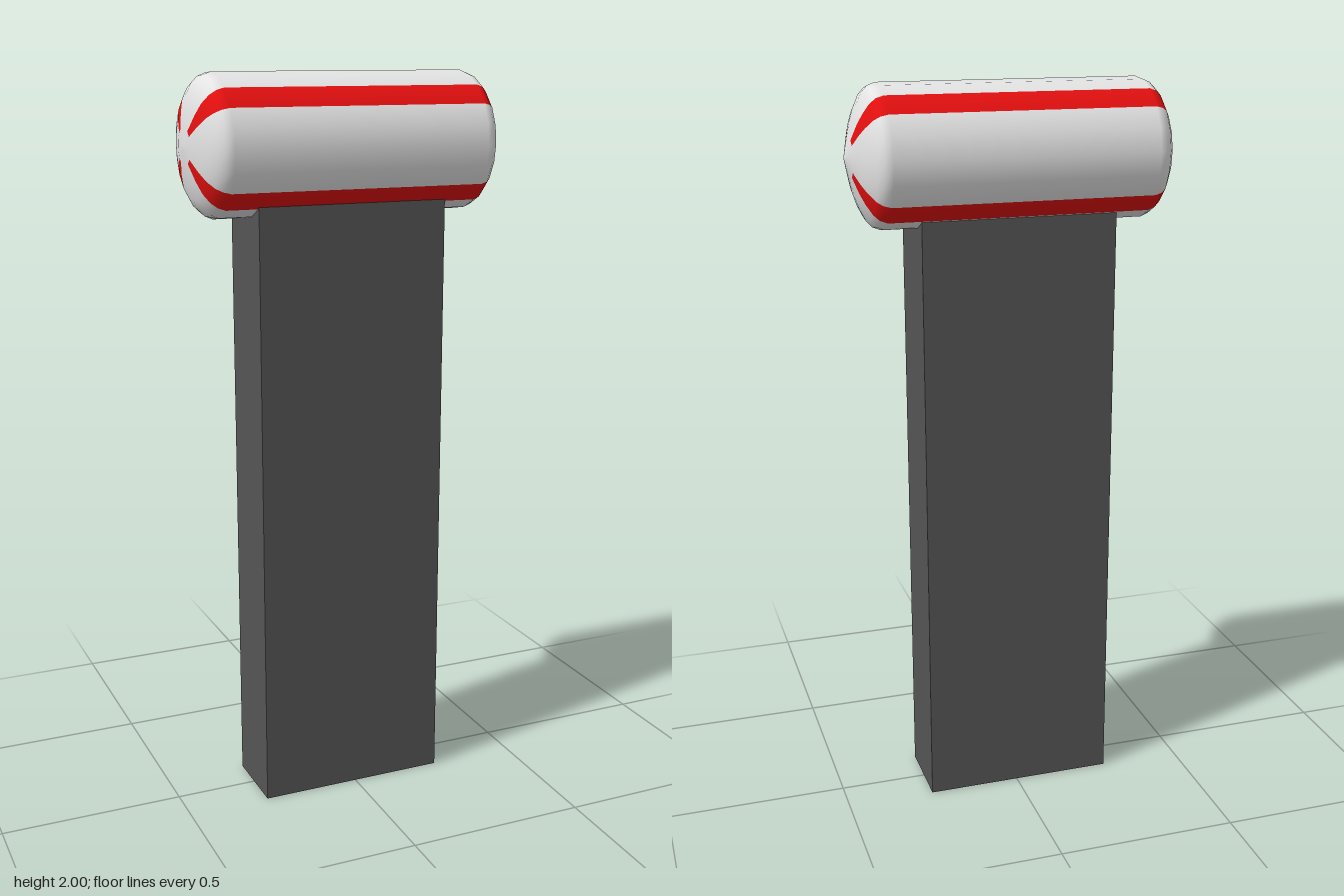
import * as THREE from 'three';

const mat = (name, color) => Object.assign(new THREE.MeshStandardMaterial({ color }), { name });

export function createModel() {
  const model = new THREE.Group();
  model.name = 'hammer';
  const white = mat('white', 0xe4e4e4);
  const red = mat('red', 0xe40f0f);
  const grey = mat('dark grey', 0x555555);

  // Flat rectangular handle, its top buried in the head
  const handle = new THREE.Mesh(new THREE.BoxGeometry(0.53, 1.72, 0.21), grey);
  handle.name = 'handle';
  handle.position.set(-0.008, 0.86, 0.005);
  model.add(handle);

  // Head outline as [radius, x]: rounded end on -x, blunt point on +x
  const profile = [
    [0, -0.435], [0.05, -0.432], [0.1, -0.422], [0.137, -0.411], [0.163, -0.396],
    [0.178, -0.38], [0.186, -0.36], [0.186, 0.345], [0.178, 0.365], [0.162, 0.38],
    [0.13, 0.396], [0.1, 0.407], [0.055, 0.419], [0, 0.433],
  ].map(([r, x]) => new THREE.Vector2(r, x));
  const rows = profile.length - 1;

  const head = new THREE.Group();
  head.name = 'head';
  head.position.y = 1.814;
  model.add(head);

  // One sector of the head between two angles, measured from the top towards +z
  function sector(name, from, to, segments, striped) {
    const rad = THREE.MathUtils.degToRad;
    const geo = new THREE.LatheGeometry(profile, segments, rad(from - 90), rad(to - from));
    geo.rotateZ(-Math.PI / 2);
    if (striped) {
      // Red along the whole length except the innermost ring at each end
      geo.addGroup(0, 6, 0);
      geo.addGroup(6, (rows - 2) * 6, 1);
      geo.addGroup((rows - 1) * 6, 6, 0);
    }
    const mesh = new THREE.Mesh(geo, striped ? [white, red] : white);
    mesh.name = name;
    head.add(mesh);
  }

  // Four stripes with plain sectors between them
  const starts = [37, 125.5, 215, 310];
  const width = 20;
  starts.forEach((start, i) => {
    const next = i < 3 ? starts[i + 1] : starts[0] + 360;
    sector('stripe' + (i + 1), start, start + width, 1, true);
    sector('headSide' + (i + 1), start + width, next, 4, false);
  });

  return model;
}
